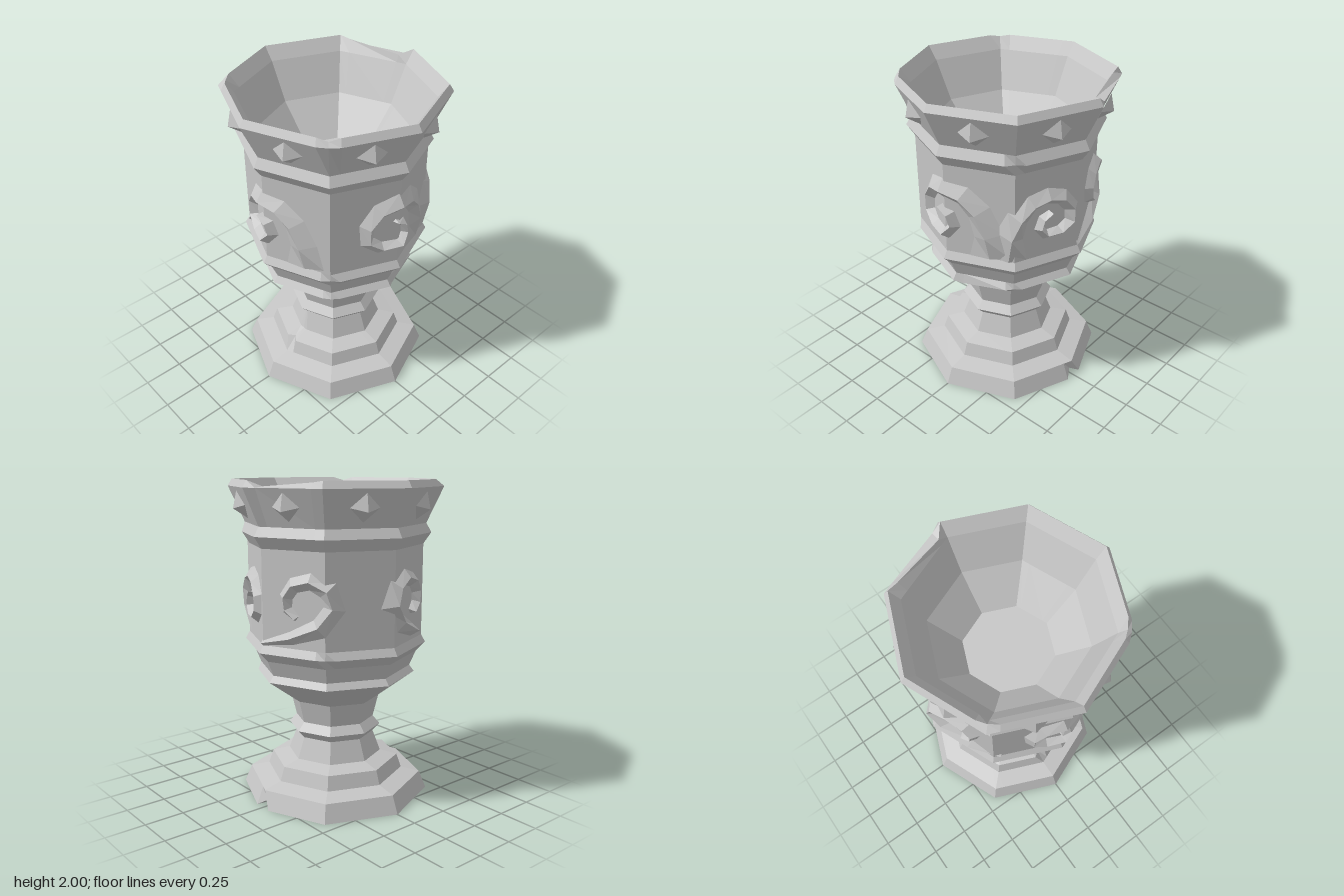
import * as THREE from 'three';

const stone = new THREE.MeshStandardMaterial({ color: 0xc6c6c6 });
stone.name = 'grey stone';
const STEP = Math.PI / 4;

function facetedMesh(geometry, name) {
  const g = geometry.index ? geometry.toNonIndexed() : geometry;
  g.computeVertexNormals();
  const mesh = new THREE.Mesh(g, stone);
  mesh.name = name;
  return mesh;
}

// Outside from the foot up to the rim, then down the shallow inside: [radius, height]
const PROFILE = [
  [0, 0], [0.605, 0], [0.56, 0.11], [0.44, 0.137], [0.41, 0.225], [0.3, 0.252],
  [0.25, 0.385], [0.295, 0.435], [0.25, 0.487], [0.285, 0.63], [0.51, 0.795], [0.48, 0.835],
  [0.52, 0.93], [0.577, 0.99], [0.55, 1.037], [0.55, 1.61], [0.597, 1.68], [0.565, 1.737],
  [0.667, 1.958], [0.64, 2], [0.58, 1.92], [0.465, 1.69], [0.275, 1.47], [0, 1.47],
];

// Worn spots: [profile index, station around the cup (3 per side), radius factor, rise]
const CHIPS = [
  [1, 6, 0.9, 0.04], [4, 18, 0.88, 0], [5, 18, 0.96, 0],
  [10, 1, 0.97, -0.02], [10, 3, 0.95, 0], [10, 21, 0.97, 0],
  [13, 21, 0.95, 0], [13, 9, 0.96, 0], [16, 3, 0.94, 0],
  [18, 7, 0.98, 0], [19, 7, 0.93, -0.035], [19, 8, 0.98, -0.01],
  [18, 21, 0.97, 0], [19, 21, 0.97, -0.02], [19, 15, 0.97, -0.01],
];

// Eight-sided cup; each side has two extra stations so corner chips stay small
function cup() {
  const n = PROFILE.length;
  const g = new THREE.LatheGeometry(PROFILE.map(p => new THREE.Vector2(...p)), 24);
  const pos = g.attributes.position;
  for (let j = 0; j <= 24; j++) {
    const side = Math.floor(j / 3) * STEP, f = [0, 0.14, 0.86][j % 3];
    const x = Math.sin(side) * (1 - f) + Math.sin(side + STEP) * f;
    const z = Math.cos(side) * (1 - f) + Math.cos(side + STEP) * f;
    PROFILE.forEach(([r, y], i) => {
      const chip = CHIPS.find(c => c[0] === i && c[1] === j % 24);
      const k = r * (chip ? chip[2] : 1);
      pos.setXYZ(j * n + i, x * k, y + (chip ? chip[3] : 0), z * k);
    });
  }
  return facetedMesh(g, 'cup');
}

// Point on the eight-sided bowl wall, raised by h
function onWall(angle, y, h) {
  const a = ((angle % STEP) + STEP) % STEP - STEP / 2;
  const r = 0.55 * Math.cos(STEP / 2) / Math.cos(a) + h;
  return [Math.sin(angle) * r, Math.max(y, 1.035), Math.cos(angle) * r];
}

// Scroll crests: [sideways, height, width outside, width inside]
const SPIRAL = [
  [0.27, 1.04, 0.13, 0.13], [0.25, 1.19, 0.11, 0.08], [0.19, 1.33, 0.1, 0.06],
  [0.1, 1.42, 0.08, 0.05], [-0.01, 1.45, 0.07, 0.05], [-0.12, 1.42, 0.065, 0.05],
  [-0.19, 1.33, 0.06, 0.045], [-0.19, 1.23, 0.05, 0.04], [-0.11, 1.17, 0.045, 0.035],
  [0, 1.17, 0.045, 0.03], [0.05, 1.23, 0.04, 0.025], [0.03, 1.3, 0.03, 0.02], [-0.03, 1.34, 0.01, 0.01],
];
const HOOK = [
  [-0.3, 1.05, 0.015, 0.02], [-0.1, 1.1, 0.04, 0.04], [0.08, 1.18, 0.07, 0.05],
  [0.16, 1.29, 0.08, 0.05], [0.13, 1.39, 0.07, 0.05], [0.03, 1.44, 0.05, 0.05],
  [-0.08, 1.41, 0.05, 0.045], [-0.13, 1.34, 0.05, 0.04], [-0.12, 1.27, 0.04, 0.03], [-0.06, 1.22, 0.02, 0.02],
];

// Raised ridge following a scroll, set around the bowl at the given angle
function scroll(path, degrees, mirror, scale) {
  const pts = path.map(([u, y, ...w]) => [
    u * mirror * scale, y < 1.1 ? y : 1.28 + (y - 1.28) * scale, ...w.map(s => s * scale)]);
  const last = pts.length - 1;
  const rows = pts.map(([u, y, wOut, wIn], i) => {
    const a = pts[Math.max(i - 1, 0)], b = pts[Math.min(i + 1, last)];
    const len = Math.hypot(b[0] - a[0], b[1] - a[1]);
    const nu = -(b[1] - a[1]) / len, ny = (b[0] - a[0]) / len;
    const at = (s, h) => onWall(THREE.MathUtils.degToRad(degrees) + (u + nu * s) / 0.53, y + ny * s, h);
    const [right, left] = mirror > 0 ? [wOut, wIn] : [wIn, wOut];
    return [at(-right, 0), at(0, i === 0 ? 0.015 : 0.045), at(left, 0)];
  });
  const v = [];
  for (let i = 0; i < last; i++) {
    for (let k = 0; k < 2; k++) {
      const a = rows[i][k], b = rows[i + 1][k], c = rows[i + 1][k + 1], d = rows[i][k + 1];
      v.push(...a, ...b, ...c, ...a, ...c, ...d);
    }
  }
  // End faces
  v.push(...rows[0][0], ...rows[0][1], ...rows[0][2]);
  v.push(...rows[last][2], ...rows[last][1], ...rows[last][0]);
  const g = new THREE.BufferGeometry();
  g.setAttribute('position', new THREE.Float32BufferAttribute(v, 3));
  return facetedMesh(g, 'scroll');
}

// Four-sided stud in the middle of each side of the flared rim
function studs() {
  const group = new THREE.Group();
  group.name = 'rimStuds';
  for (let i = 0; i < 8; i++) {
    const g = new THREE.ConeGeometry(0.088, 0.06, 4, 1, true);
    g.rotateX(Math.PI / 2 + 0.39);
    g.translate(0, 1.842, 0.602);
    g.rotateY((i + 0.5) * STEP);
    group.add(facetedMesh(g, 'stud'));
  }
  return group;
}

export function createModel() {
  const model = new THREE.Group();
  model.name = 'goblet';
  model.add(cup(), studs());

  const scrolls = new THREE.Group();
  scrolls.name = 'scrolls';
  scrolls.add(
    scroll(SPIRAL, 0, 1, 1),
    scroll(SPIRAL, 66, -1, 0.85),
    scroll(HOOK, 122, 1, 1),
    scroll(HOOK, 197, -1, 1),
    scroll(SPIRAL, 270, 1, 0.95),
  );
  model.add(scrolls);
  return model;
}
